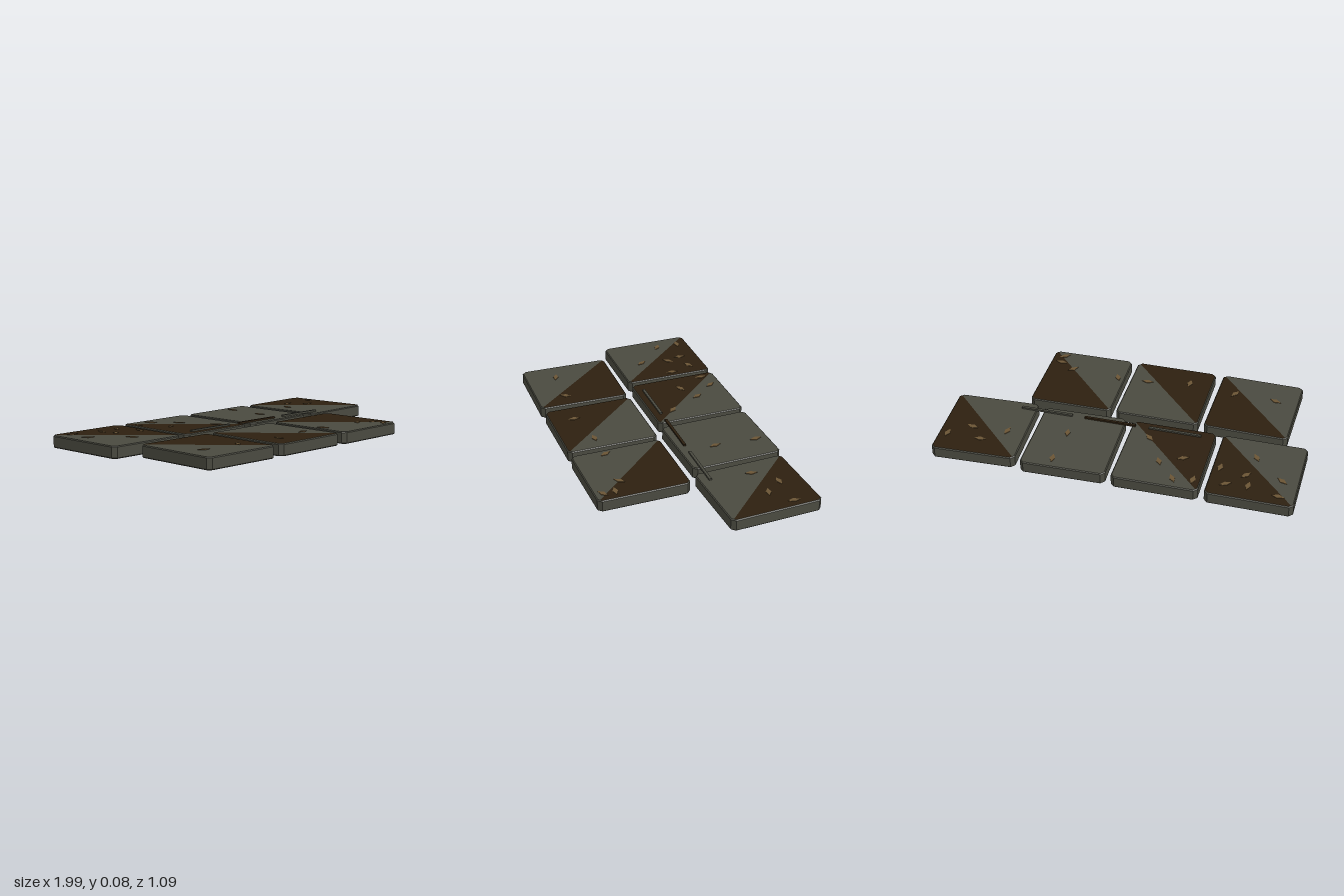
import * as THREE from 'three';

const W = 0.468, D = 0.51, H = 0.066, CUT = 0.018, BEVEL = 0.005;

// Plan outline of a paving slab with cut corners
function slabShape(inset) {
  const w = W / 2 - inset, d = D / 2 - inset, c = CUT;
  return new THREE.Shape([
    [-w + c, -d], [w - c, -d], [w, -d + c], [w, d - c],
    [w - c, d], [-w + c, d], [-w, d - c], [-w, -d + c],
  ].map(([x, y]) => new THREE.Vector2(x, y)));
}

// Half of the slab top, on the back right side of the diagonal
function halfShape() {
  const w = W / 2 - BEVEL, d = D / 2 - BEVEL, c = CUT;
  return new THREE.Shape([
    [-w + c / 2, d - c / 2], [w - c / 2, -d + c / 2], [w, -d + c],
    [w, d - c], [w - c, d], [-w + c, d],
  ].map(([x, y]) => new THREE.Vector2(x, y)));
}

export function createModel() {
  const group = new THREE.Group();
  group.name = 'pavingSlabs';
  const material = (name, color) => new THREE.MeshStandardMaterial({ name, color });
  const stone = material('stone', 0x4a4a40);
  const soil = material('darkSoil', 0x2d2010);
  const leaf = material('dryLeaf', 0x6b5535);

  const add = (parent, name, geometry, mat, x = 0, y = 0, z = 0, turn = 0) => {
    const mesh = new THREE.Mesh(geometry, mat);
    mesh.name = name;
    mesh.position.set(x, y, z);
    mesh.rotation.y = turn;
    parent.add(mesh);
    return mesh;
  };

  const slabGeo = new THREE.ExtrudeGeometry(slabShape(BEVEL), {
    depth: H - 2 * BEVEL, bevelThickness: BEVEL, bevelSize: BEVEL, bevelSegments: 1,
  }).rotateX(-Math.PI / 2).translate(0, BEVEL, 0);
  const soilGeo = new THREE.ShapeGeometry(halfShape()).rotateX(-Math.PI / 2);

  // Slabs: x, z, turn, soiled half (1 back right, -1 front left, 0 clean)
  const slabs = [
    [-0.766, -0.282, 0, 1], [-0.263, -0.282, 0.008, -1],
    [0.243, -0.283, 0.028, 0], [0.75, -0.281, 0.045, 1],
    [-0.644, 0.282, -0.02, 1], [-0.137, 0.282, 0, -1], [0.366, 0.282, 0.012, 1],
  ];
  slabs.forEach(([x, z, turn, half], i) => {
    const slab = new THREE.Group();
    slab.name = `slab${i + 1}`;
    slab.position.set(x, 0, z);
    slab.rotation.y = turn;
    add(slab, 'stoneBlock', slabGeo, stone);
    if (half) add(slab, 'soiledHalf', soilGeo, soil, 0, H + 0.001, 0, half > 0 ? 0 : Math.PI);
    group.add(slab);
  });

  // Narrow strips lying along the back row
  const stripGeo = new THREE.BoxGeometry(0.293, 0.011, 0.015);
  [[-0.27, stone], [0.099, soil], [0.464, stone]].forEach(([x, mat]) =>
    add(group, 'strip', stripGeo, mat, x, 0.07, -0.075));

  // Fallen leaves: x, z, angle in degrees
  const leafGeo = new THREE.CylinderGeometry(0.034, 0.034, 0.003, 4).scale(1, 1, 0.45);
  const leaves = [
    [-0.91, -0.47, -5], [-0.745, -0.425, 85], [-0.628, -0.438, 30], [-0.718, -0.34, 50],
    [-0.91, -0.34, -35], [-0.574, -0.312, 85], [-0.745, -0.18, -60],
    [-0.457, -0.45, 85], [-0.35, -0.467, -60], [-0.366, -0.286, 25], [-0.248, -0.345, -65],
    [-0.147, -0.157, -45], [0.307, -0.467, -85], [0.296, -0.232, -80],
    [0.74, -0.406, 3], [0.93, -0.403, 85], [0.62, -0.302, 80], [0.817, -0.312, -15],
    [-0.75, 0.36, -20], [-0.515, 0.37, 60], [-0.243, 0.403, 88], [-0.003, 0.36, 3],
    [0.174, 0.355, -65], [0.451, 0.371, 45], [0.537, 0.422, -5], [0.537, 0.489, 35],
  ];
  leaves.forEach(([x, z, angle]) =>
    add(group, 'leaf', leafGeo, leaf, x, H + 0.0015, z, THREE.MathUtils.degToRad(angle)));

  return group;
}
